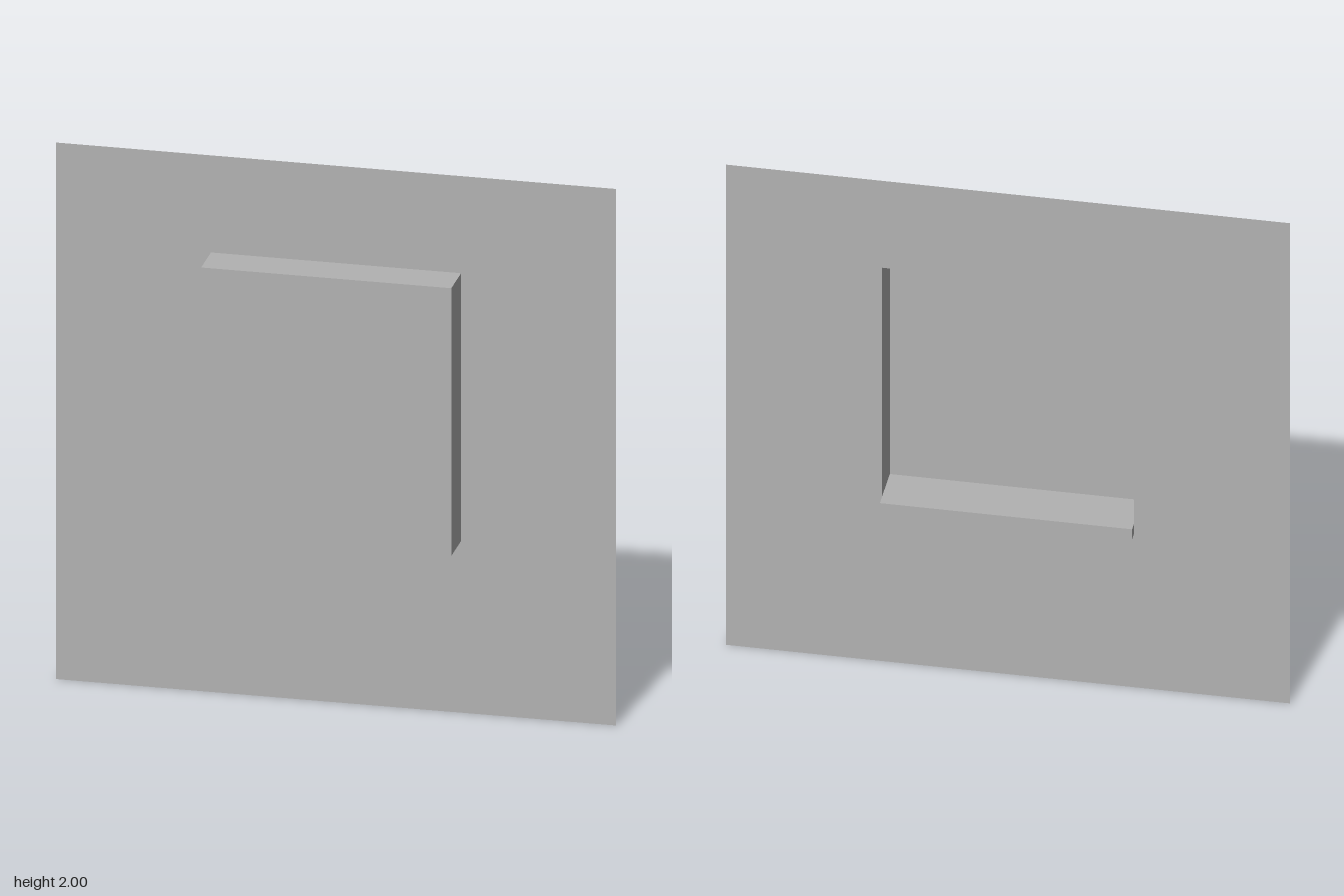
import * as THREE from 'three';

export function createModel() {
  const model = new THREE.Group();
  const plaster = new THREE.MeshStandardMaterial({ color: 0xb2b2b2, side: THREE.DoubleSide });
  plaster.name = 'grey plaster';

  const halfW = 0.447, bottom = 0.64, top = 1.638;
  const wallZ = -0.056, paneZ = 0.094, sillBackZ = -0.094, sillH = 0.042;
  const height = top - bottom, depth = paneZ - wallZ;
  const midY = (top + bottom) / 2, midZ = (paneZ + wallZ) / 2;

  function add(name, geometry, x, y, z, rx = 0, ry = 0) {
    const mesh = new THREE.Mesh(geometry, plaster);
    mesh.name = name;
    mesh.position.set(x, y, z);
    mesh.rotation.set(rx, ry, 0);
    model.add(mesh);
  }

  // Thin wall sheet with a rectangular opening
  const wall = new THREE.Shape([[-1, 0], [1, 0], [1, 2], [-1, 2]].map(p => new THREE.Vector2(...p)));
  wall.holes.push(new THREE.Path([
    [-halfW, bottom], [-halfW, top], [halfW, top], [halfW, bottom],
  ].map(p => new THREE.Vector2(...p))));
  add('wall', new THREE.ShapeGeometry(wall), 0, 0, wallZ);

  // Window pane and the reveals joining it to the wall
  add('windowPane', new THREE.PlaneGeometry(2 * halfW, height), 0, midY, paneZ);
  add('topReveal', new THREE.PlaneGeometry(2 * halfW, depth), 0, top, midZ, -Math.PI / 2);
  for (const [name, side] of [['leftReveal', 1], ['rightReveal', -1]]) {
    add(name, new THREE.PlaneGeometry(depth, height), side * halfW, midY, midZ, 0, side * Math.PI / 2);
  }

  // Sill filling the bottom of the opening and projecting behind the wall
  add('sill', new THREE.BoxGeometry(2 * halfW, sillH, paneZ - sillBackZ),
    0, bottom + sillH / 2, (paneZ + sillBackZ) / 2);

  return model;
}
